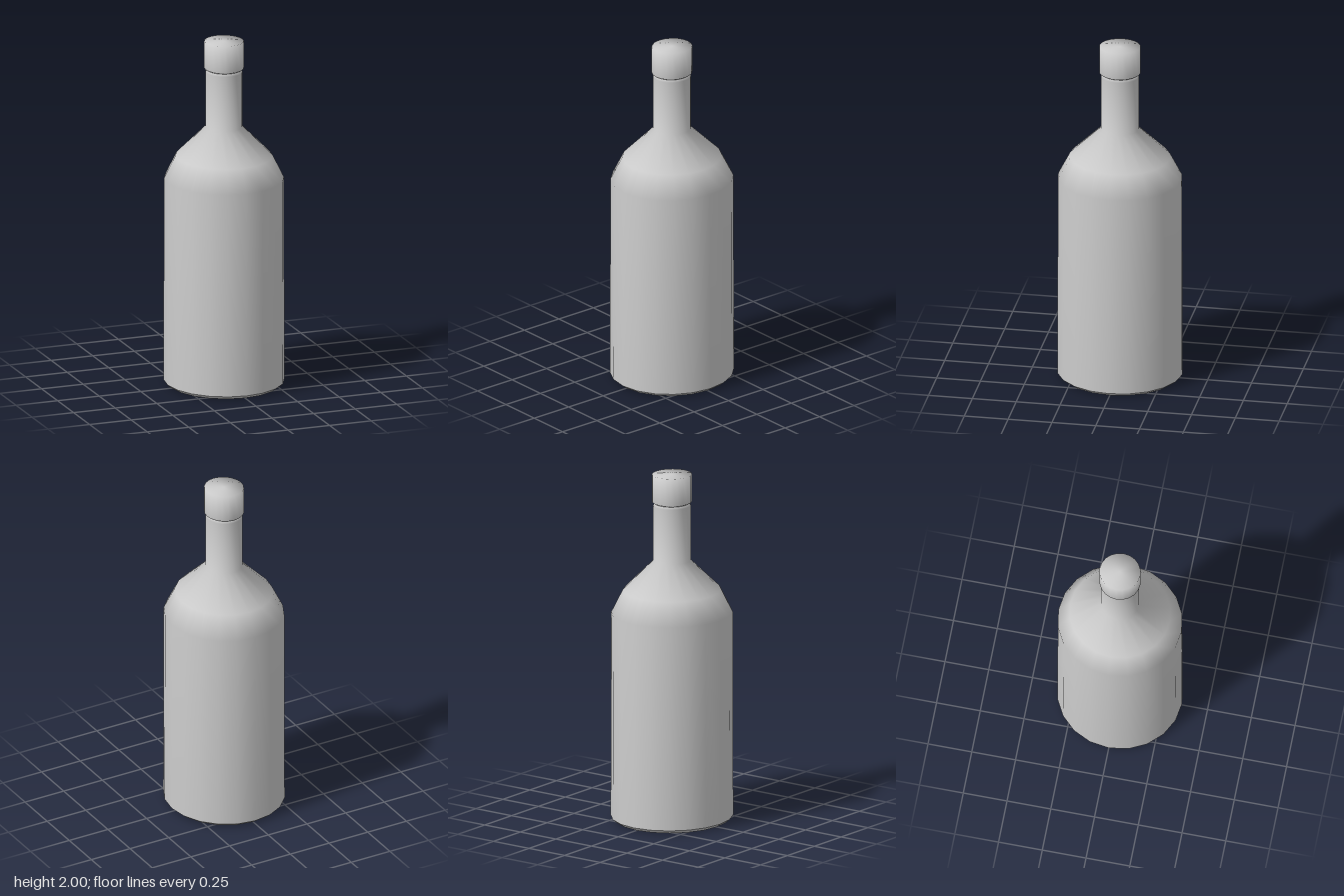
import * as THREE from 'three';

const SIDES = 20;
const WIDTH_RATIO = 0.952; // the bottle is slightly narrower in x than in z

// Turn a [radius, height] profile, listed from bottom to top, into a named mesh
function turned(name, profile) {
  const points = profile.map(([r, y]) => new THREE.Vector2(r, y));
  const geometry = new THREE.LatheGeometry(points, SIDES);
  geometry.scale(WIDTH_RATIO, 1, 1);
  const material = new THREE.MeshStandardMaterial({ color: 0xcccccc, side: THREE.DoubleSide });
  const mesh = new THREE.Mesh(geometry, material);
  mesh.name = name;
  return mesh;
}

export function createModel() {
  const bottle = new THREE.Group();
  bottle.name = 'bottle';

  // Hollowed underside
  bottle.add(turned('base', [[0, 0.07], [0.17, 0.05], [0.33, 0]]));

  // Bevelled foot
  bottle.add(turned('footBevel', [[0.33, 0], [0.355, 0.02]]));

  // Body, two-step shoulder and neck
  bottle.add(turned('body', [
    [0.355, 0.02], [0.352, 1.2], [0.285, 1.33], [0.109, 1.5], [0.109, 1.82], [0.1, 1.833],
  ]));

  // Stopper cap with a flat, softly shaded top
  bottle.add(turned('cap', [[0.1, 1.833], [0.116, 1.842], [0.116, 2], [0, 2]]));

  return bottle;
}
